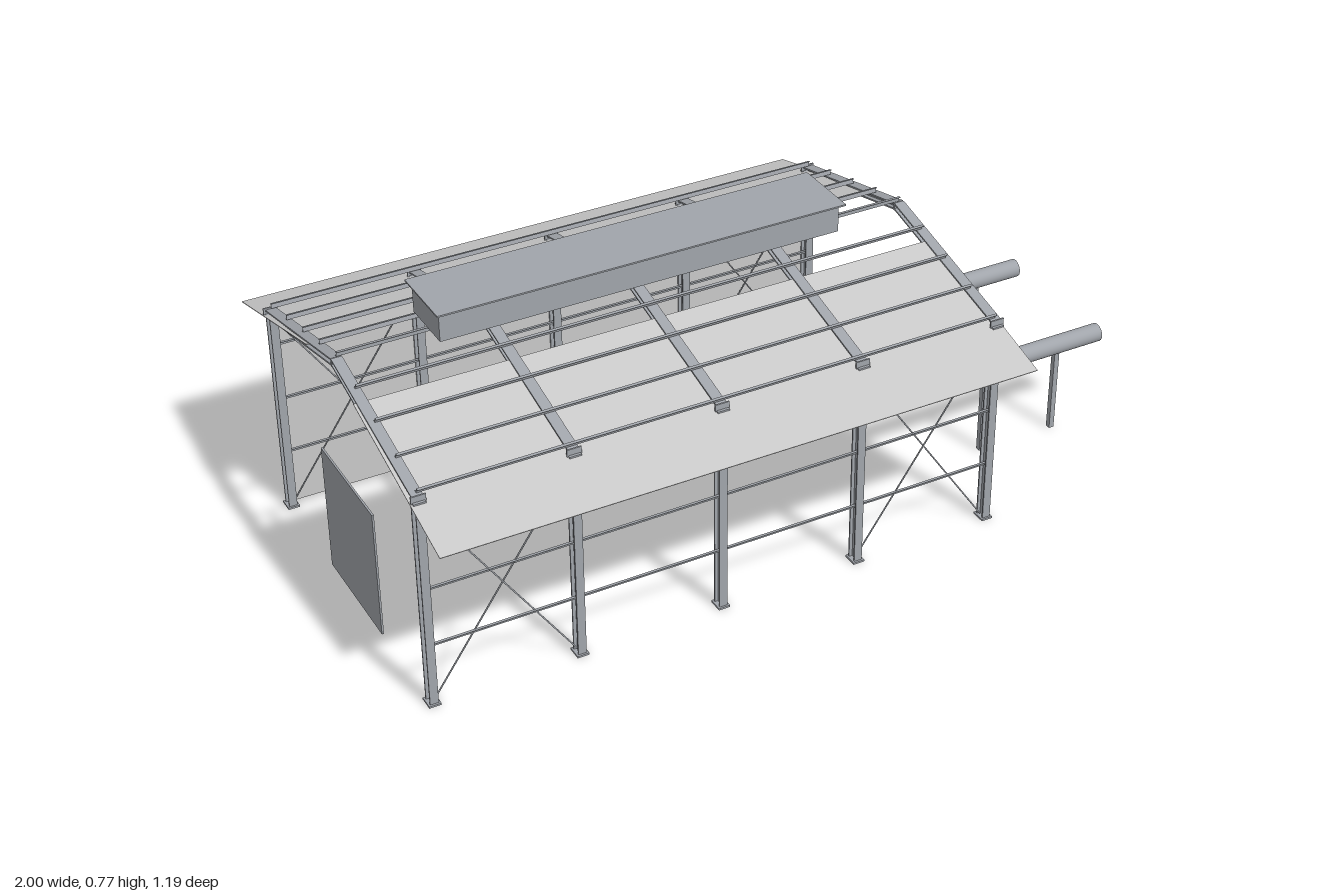
import * as THREE from 'three';

const steel = new THREE.MeshStandardMaterial({ color: 0xa1a5ab });
steel.name = 'steelGrey';
const sheet = new THREE.MeshStandardMaterial({ color: 0xc9c9c9, side: THREE.DoubleSide });
sheet.name = 'sheetGrey';

const FRAMES = [-0.98, -0.61, -0.24, 0.13, 0.5];
const MID = -0.24, LENGTH = 1.48, COLZ = 0.435, SLOPE = 0.243;

function add(parent, name, geo, mat, x = 0, y = 0, z = 0) {
  const m = new THREE.Mesh(geo, mat);
  m.name = name;
  m.position.set(x, y, z);
  parent.add(m);
  return m;
}

function box(parent, name, w, h, d, x, y, z, mat = steel) {
  return add(parent, name, new THREE.BoxGeometry(w, h, d), mat, x, y, z);
}

// I-section extruded along +z
function iBeam(width, depth, length, t = 0.004) {
  const w = width / 2, h = depth / 2, k = t / 2;
  const right = [[w, -h], [w, -h + t], [k, -h + t], [k, h - t], [w, h - t], [w, h]];
  const left = right.map(([x, y]) => [-x, y]).reverse();
  const shape = new THREE.Shape([...right, ...left].map(p => new THREE.Vector2(...p)));
  return new THREE.ExtrudeGeometry(shape, { depth: length, bevelEnabled: false });
}

// Round rod between two points
function rod(parent, name, a, b, r) {
  const d = b.clone().sub(a);
  const m = add(parent, name, new THREE.CylinderGeometry(r, r, d.length(), 6), steel);
  m.position.copy(a).lerp(b, 0.5);
  m.quaternion.setFromUnitVectors(new THREE.Vector3(0, 1, 0), d.normalize());
}

// Thin Z-section rail running along x
function zRail(parent, name, y, z, tilt, h) {
  const g = new THREE.Group();
  g.name = name;
  box(g, 'railWeb', LENGTH, h, 0.0015, 0, 0, 0);
  box(g, 'railTopFlange', LENGTH, 0.0015, 0.007, 0, h / 2, 0.003);
  box(g, 'railBottomFlange', LENGTH, 0.0015, 0.007, 0, -h / 2, -0.003);
  g.position.set(MID, y, z);
  g.rotation.x = tilt;
  parent.add(g);
}

export function createModel() {
  const root = new THREE.Group();
  root.name = 'steelShed';

  // Portal frames: columns, base plates, rafters and joint plates
  const rise = COLZ * SLOPE, rafterLength = Math.hypot(COLZ, rise);
  for (const x of FRAMES) {
    const frame = new THREE.Group();
    frame.name = 'portalFrame';
    root.add(frame);
    for (const s of [-1, 1]) {
      const z = s * COLZ;
      const col = add(frame, 'column', iBeam(0.021, 0.028, 0.555), steel, x, 0, z);
      col.rotation.x = -Math.PI / 2;
      box(frame, 'basePlate', 0.03, 0.005, 0.038, x, 0.0025, z);
      box(frame, 'capPlate', 0.03, 0.004, 0.03, x, 0.555, z);
      const rafter = add(frame, 'rafter', iBeam(0.027, 0.018, rafterLength), steel, x, 0.666 - rise, z);
      rafter.lookAt(x, 0.666, 0);
      box(frame, 'eavesPlate', 0.036, 0.018, 0.004, x, 0.563, s * 0.441);
    }
    box(frame, 'ridgePlate', 0.027, 0.019, 0.004, x, 0.664, 0);
  }

  // Purlins over the rafters
  for (const s of [-1, 1])
    for (const z of [0.107, 0.215, 0.326, 0.433])
      zRail(root, 'purlin', 0.684 - z * SLOPE, s * z, s * Math.atan(SLOPE), 0.012);
  zRail(root, 'ridgePurlin', 0.684, 0, 0, 0.012);

  // Side girts and crossed bracing in the end bays
  for (const s of [-1, 1]) {
    for (const y of [0.16, 0.315, 0.47]) zRail(root, 'girt', y, s * COLZ, 0, 0.008);
    for (const [a, b] of [[-0.97, -0.615], [0.135, 0.49]])
      for (const [p, q] of [[a, b], [b, a]])
        rod(root, 'braceRod', new THREE.Vector3(p, 0.012, s * COLZ),
          new THREE.Vector3(q, 0.53, s * COLZ), 0.002);
  }

  // Sloping roof sheets with overhanging eaves
  const run = 0.453, drop = 0.126;
  for (const s of [-1, 1]) {
    const roof = box(root, 'roofSheet', 1.515, 0.002, Math.hypot(run, drop),
      -0.2425, 0.511 + drop / 2, s * (0.594 - run / 2), sheet);
    roof.rotation.x = s * Math.atan(drop / run);
  }

  // Back wall with two rows of vent slots
  box(root, 'backWall', LENGTH, 0.548, 0.002, MID, 0.274, -0.45, sheet);
  for (let i = 0; i < 11; i++)
    for (const y of [0.371, 0.391])
      box(root, 'wallVent', 0.06, 0.006, 0.004, MID + (i - 5) * 0.108, y, -0.452);

  // Ridge ventilator
  box(root, 'ventilatorBody', 1.04, 0.075, 0.15, MID, 0.7275, 0);
  box(root, 'ventilatorLid', 1.06, 0.004, 0.184, MID, 0.767, 0);

  // End door
  box(root, 'endDoor', 0.005, 0.34, 0.31, -0.982, 0.17, 0);

  // Ducts on posts
  for (const z of [-0.186, 0.186]) {
    const duct = add(root, 'duct', new THREE.CylinderGeometry(0.024, 0.024, 0.62, 32), steel, 0.69, 0.25, z);
    duct.rotation.z = Math.PI / 2;
    for (const x of [0.657, 0.874]) box(root, 'ductPost', 0.014, 0.23, 0.014, x, 0.115, z);
  }
  return root;
}
